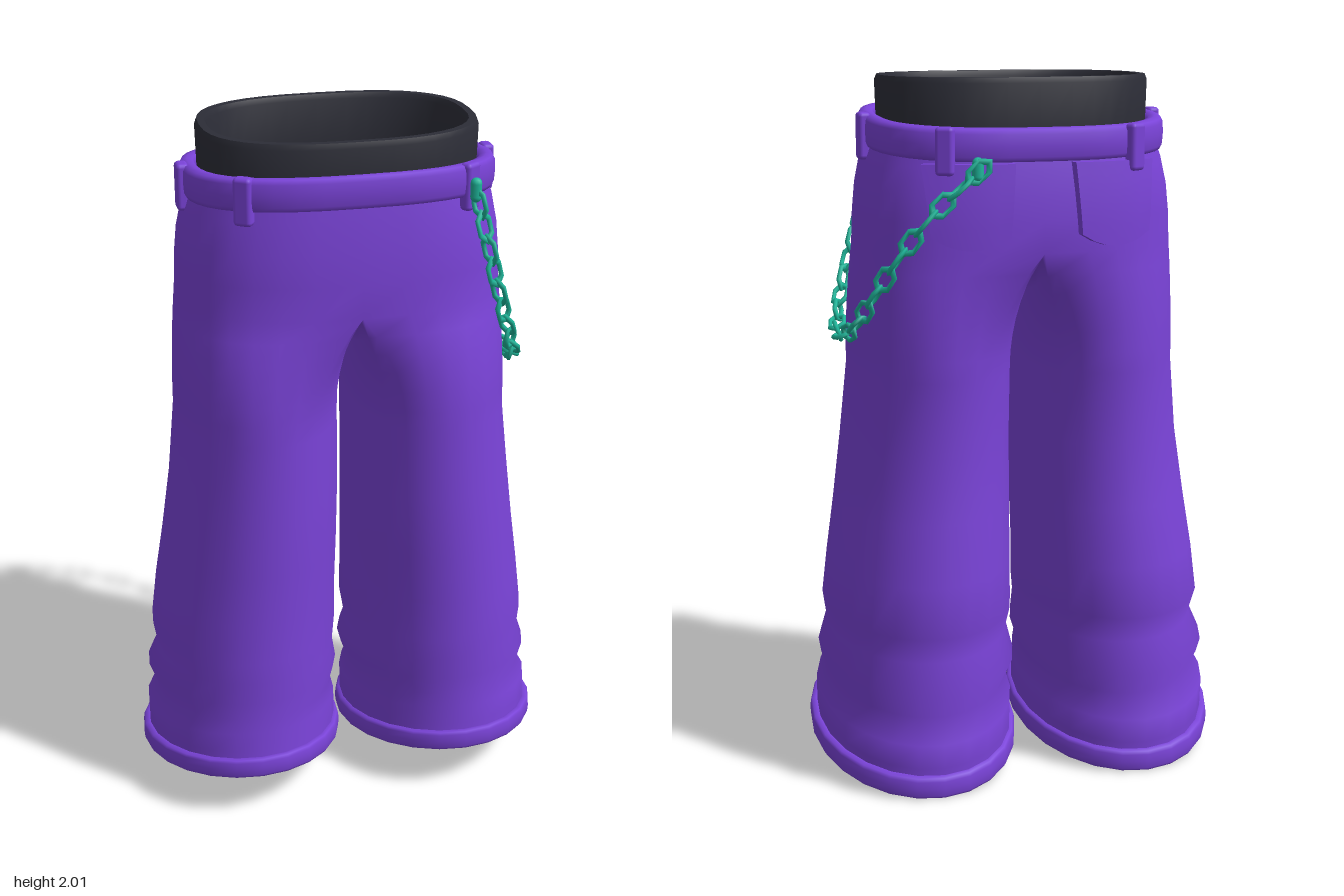
import * as THREE from 'three';
import { mergeGeometries, mergeVertices, toCreasedNormals } from 'three/addons/utils/BufferGeometryUtils.js';
import { RoundedBoxGeometry } from 'three/addons/geometries/RoundedBoxGeometry.js';

const paint = (color) => new THREE.MeshStandardMaterial({ color, side: THREE.DoubleSide });
const purple = paint(0x7a43d8), dark = paint(0x2c2d37), teal = paint(0x1fb79b);
const V = (x, y, z) => new THREE.Vector3(x, y, z);
const range = (n, f) => Array.from({ length: n }, (_, i) => f(i));
const { lerp, clamp } = THREE.MathUtils;

// Skin closed rings of equal point count, stacked from bottom to top
function loft(rings) {
  const n = rings[0].length, index = [];
  for (let i = 0; i < rings.length - 1; i++) {
    for (let j = 0; j < n; j++) {
      const a = i * n + j, b = i * n + (j + 1) % n;
      index.push(a, a + n, b, b, a + n, b + n);
    }
  }
  return new THREE.BufferGeometry().setFromPoints(rings.flat()).setIndex(index);
}

function smooth(...geometries) {
  const g = mergeVertices(mergeGeometries(geometries), 1e-4);
  g.computeVertexNormals();
  return g;
}

const mirrorRing = (ring) => ring.map((p) => V(-p.x, p.y, p.z)).reverse();

// Rounded-oblong point around the waist and hips; tilt lowers the back
const POW = 2.6;
function hip(th, [y, rx, rz, tilt]) {
  const c = Math.cos(th), s = Math.sin(th);
  const z = rz * Math.sign(s) * Math.abs(s) ** (2 / POW);
  return V(rx * Math.sign(c) * Math.abs(c) ** (2 / POW), y + tilt * z, z);
}

// Torso rows: y, half width, half depth, tilt
const TORSO = [[1.53, 0.456, 0.315, 0], [1.62, 0.452, 0.315, 0.01], [1.7, 0.444, 0.31, 0.03],
  [1.78, 0.427, 0.3, 0.07], [1.85, 0.403, 0.288, 0.09]];

// Leg rows: y, inner x, outer x, back z, front z, slant
const LEG = [[0.1, 0.022, 0.592, -0.355, 0.365, 0.2], [0.15, 0.022, 0.592, -0.355, 0.36, 0.2],
  [0.215, 0.022, 0.592, -0.36, 0.355, 0.18], [0.27, 0.037, 0.56, -0.317, 0.35, 0.16],
  [0.335, 0.015, 0.585, -0.36, 0.35, 0.12], [0.41, 0.03, 0.556, -0.31, 0.35, 0.1],
  [0.485, 0.02, 0.568, -0.345, 0.35, 0.07], [0.62, 0.02, 0.551, -0.334, 0.346, 0.04],
  [0.78, 0.017, 0.526, -0.312, 0.346, 0.01], [0.97, 0.015, 0.5, -0.29, 0.344, 0],
  [1.18, 0.015, 0.478, -0.298, 0.335, 0]];

const SIDES = 24;
function legRing([y, xi, xo, zb, zf, slant], grow = 0) {
  return range(SIDES, (j) => {
    const a = (j - 8) * Math.PI * 2 / SIDES;
    const z = (zb + zf) / 2 + ((zf - zb) / 2 + grow) * Math.sin(a);
    return V((xi + xo) / 2 + ((xo - xi) / 2 + grow) * Math.cos(a), y + slant * z, z);
  });
}

// Top of a leg: half of the hip ring, closed by the crotch seam on x = 0
function legTop() {
  const rz = TORSO[0][2];
  return range(SIDES, (j) => {
    if (j <= 16) return hip((j / 16 - 0.5) * Math.PI, TORSO[0]);
    const z = rz * Math.cos((j - 16) / 8 * Math.PI);
    return V(0, 1.42 + 0.11 * (z / rz) ** 2, z);
  });
}

function trousers() {
  const below = legRing(LEG[LEG.length - 1]), top = legTop();
  const blend = range(6, (i) => {
    const t = (i + 1) / 6;
    return below.map((p, j) => V(lerp(p.x, top[j].x, t * t), lerp(p.y, top[j].y, t), lerp(p.z, top[j].z, t * t)));
  });
  const rings = [...LEG.map((row) => legRing(row)), ...blend];
  const torso = TORSO.map((row) => range(32, (j) => hip((j / 16 - 0.5) * Math.PI, row)));
  return smooth(loft(rings), loft(rings.map(mirrorRing)), loft(torso));
}

// Rounded cross-section of a band: [outward, up] pairs
const section = (w, h, p = 0.6) => range(13, (i) => {
  const a = (i % 12) / 12 * Math.PI * 2, c = Math.cos(a), s = Math.sin(a);
  return [w * Math.sign(c) * Math.abs(c) ** p, h * Math.sign(s) * Math.abs(s) ** p];
});

// Back pocket: a plate that follows the seat, its rim sunk into the cloth
function pocket(cx) {
  const g = new THREE.PlaneGeometry(2, 2, 8, 6), pos = g.attributes.position;
  for (let i = 0; i < pos.count; i++) {
    const u0 = pos.getX(i), v0 = pos.getY(i);
    const u = clamp(u0 / 0.75, -1, 1), v = clamp(v0 * 1.5, -1, 1);
    const rim = Math.abs(u0) > 0.99 || Math.abs(v0) > 0.99;
    const x = cx - u * (0.11 + 0.008 * v);
    const y = lerp(1.545 + 0.035 * u * u, 1.775, (v + 1) / 2);
    const k = Math.max(0, TORSO.findIndex((r) => r[0] > y) - 1);
    const [a, b] = [TORSO[k], TORSO[k + 1]], t = (y - a[0]) / (b[0] - a[0]);
    const rx = lerp(a[1], b[1], t), rz = lerp(a[2], b[2], t);
    const z = -rz * (1 - (Math.abs(x) / rx) ** POW) ** (1 / POW);
    const out = V(x / rx ** 2, 0, z / rz ** 2).normalize().multiplyScalar(rim ? -0.015 : 0.024);
    pos.setXYZ(i, x + out.x, y, z + out.z);
  }
  return toCreasedNormals(g, 0.7);
}

export function createModel() {
  const model = new THREE.Group();
  const add = (name, geometry, material, parent = model) => {
    const mesh = new THREE.Mesh(geometry, material);
    mesh.name = name;
    parent.add(mesh);
    return mesh;
  };

  add('trousers', trousers(), purple);

  // Rolled hems
  const hem = section(0.018, 0.032).map(([dr, dy]) => legRing([0.098 + dy, 0.025, 0.595, -0.355, 0.366, 0.2], dr));
  add('leftHem', smooth(loft(hem)), purple);
  add('rightHem', smooth(loft(hem.map(mirrorRing))), purple);

  // Waistband and the dark inner waist
  const around = (row) => range(40, (j) => hip(j / 20 * Math.PI, row));
  const band = section(0.024, 0.046).map(([dr, dy]) => around([1.85 + dy, 0.406 + dr, 0.297 + dr, 0.09]));
  add('waistband', smooth(loft(band)), purple);
  const liner = [[0.38, 1.86, 0.09], [0.383, 1.985, 0], [0.377, 2, 0], [0.357, 2, 0], [0.35, 1.985, 0],
    [0.35, 1.86, 0.09], [0.38, 1.86, 0.09]].map(([rx, y, tilt]) => around([y, rx, rx - 0.108, tilt]));
  add('innerWaist', toCreasedNormals(smooth(loft(liner)), 0.9), dark);

  // Belt loops and back pockets
  for (const s of [1, -1]) {
    const side = s > 0 ? 'left' : 'right';
    [['Front', 0.305, 0.25], ['Side', 0.428, 0], ['Back', 0.27, -0.282]].forEach(([place, x, z]) => {
      const loop = add(side + place + 'BeltLoop', new RoundedBoxGeometry(0.052, 0.13, 0.036, 2, 0.012), purple);
      loop.position.set(s * x, 1.835 + 0.09 * z, z);
      loop.rotation.y = Math.atan2(s * x / 0.43 ** 2, z / 0.32 ** 2);
    });
    add(side + 'BackPocket', pocket(s * 0.2), purple);
  }

  // Hanging chain from the front of the waistband to the back pocket
  const chain = new THREE.Group();
  chain.name = 'chain';
  model.add(chain);
  const path = new THREE.CatmullRomCurve3([V(0.32, 1.82, 0.29), V(0.345, 1.7, 0.315), V(0.39, 1.54, 0.3),
    V(0.45, 1.39, 0.22), V(0.49, 1.31, 0.11), V(0.51, 1.285, 0), V(0.5, 1.31, -0.12), V(0.475, 1.39, -0.22),
    V(0.42, 1.51, -0.3), V(0.33, 1.64, -0.345), V(0.2, 1.76, -0.36)]);
  const link = new THREE.TorusGeometry(0.024, 0.007, 6, 6).scale(1.6, 1, 1);
  const count = Math.round(path.getLength() / 0.066);
  for (let i = 0; i <= count; i++) {
    const t = path.getTangentAt(i / count), p = path.getPointAt(i / count);
    const side = V(p.x, 0, p.z).cross(t).normalize();
    const mesh = add('chainLink', link, teal, chain);
    mesh.quaternion.setFromRotationMatrix(new THREE.Matrix4().makeBasis(t, side, t.clone().cross(side)));
    mesh.rotateX(i % 2 ? 0.35 : 0.35 + Math.PI / 2);
    mesh.position.copy(p);
  }
  [['frontClasp', 0.312, 1.855, 0.283], ['backClasp', 0.2, 1.765, -0.352]].forEach(([name, x, y, z]) => {
    add(name, new THREE.CapsuleGeometry(0.016, 0.035, 4, 10), teal, chain).position.set(x, y, z);
  });

  return model;
}
